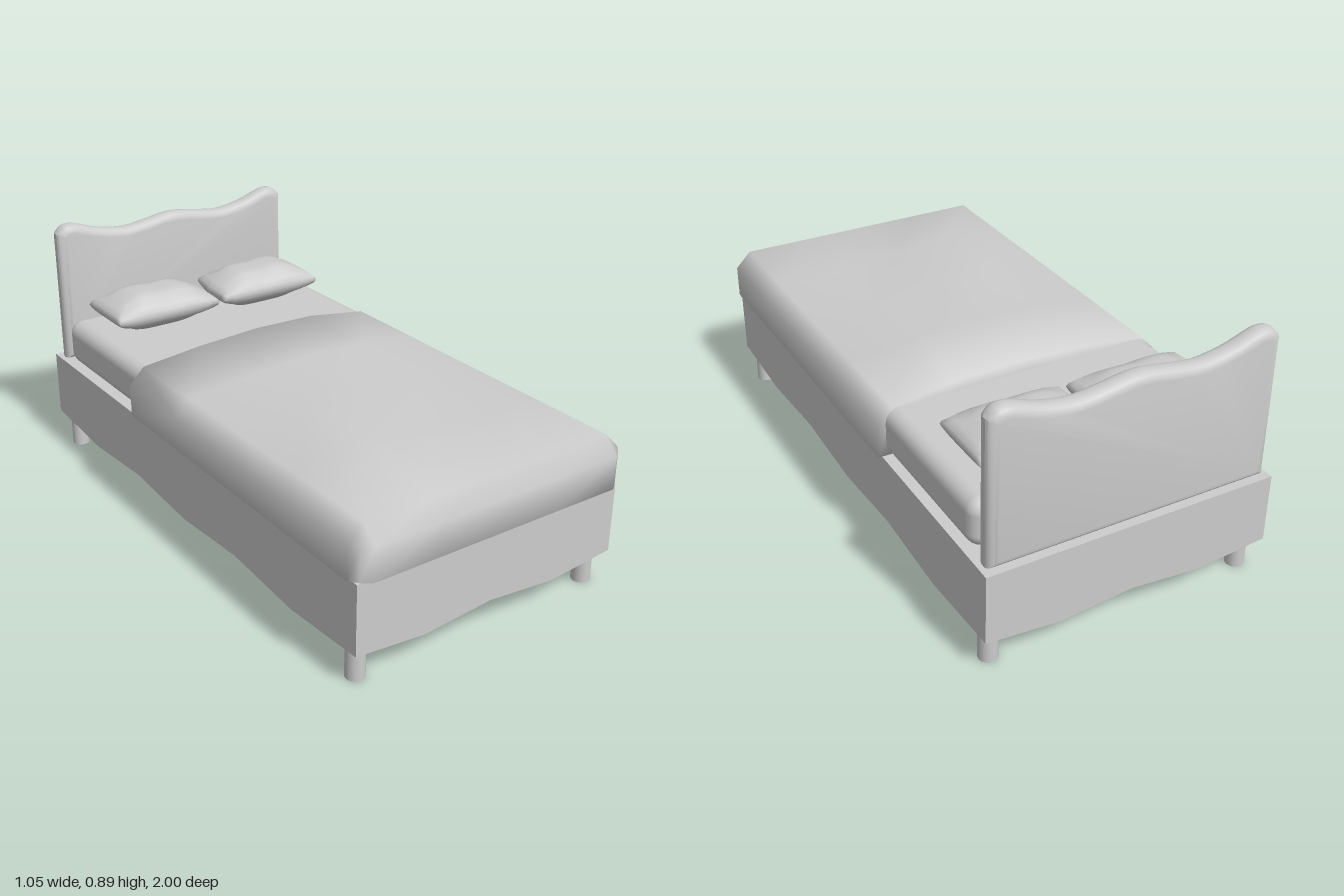
import * as THREE from 'three';
import { mergeVertices, toCreasedNormals } from 'three/addons/utils/BufferGeometryUtils.js';
import { RoundedBoxGeometry } from 'three/addons/geometries/RoundedBoxGeometry.js';

const grey = new THREE.MeshStandardMaterial({ color: 0xcccccc });
grey.name = 'light grey';

function part(name, geometry, parent, x = 0, y = 0, z = 0) {
  const mesh = new THREE.Mesh(geometry, grey);
  mesh.name = name;
  mesh.position.set(x, y, z);
  parent.add(mesh);
  return mesh;
}

// Move every vertex of a geometry by rule(v)
function reshape(geometry, rule) {
  const p = geometry.attributes.position;
  const v = new THREE.Vector3();
  for (let i = 0; i < p.count; i++) {
    rule(v.fromBufferAttribute(p, i));
    p.setXYZ(i, v.x, v.y, v.z);
  }
  geometry.computeVertexNormals();
  return geometry;
}

// Weld the seams of a box so that it shades smoothly
function weldedBox(nx, ny, nz) {
  const g = new THREE.BoxGeometry(2, 2, 2, nx, ny, nz);
  g.deleteAttribute('normal');
  g.deleteAttribute('uv');
  return mergeVertices(g);
}

// Box base with a gently waved underside
function frameGeometry() {
  return reshape(new THREE.BoxGeometry(2, 2, 2, 4, 1, 6), v => {
    const col = Math.round((v.x + 1) * 2), row = Math.round((v.z + 1) * 3);
    v.y = v.y > 0 ? 0.364 : 0.122 - 0.023 * (col % 2) - 0.023 * (row % 2);
    v.x *= 0.508;
    v.z = v.z * 0.9875 - 0.0125;
  });
}

// Padded board with a waved top edge
function headboardGeometry() {
  const b = 0.03;
  const s = new THREE.Shape();
  s.moveTo(-0.46, 0.365 + b);
  s.lineTo(0.46, 0.365 + b);
  s.lineTo(0.46, 0.85);
  s.splineThru([[0.445, 0.862], [0.41, 0.858], [0.32, 0.828], [0.21, 0.812], [0.11, 0.823], [0, 0.838],
    [-0.11, 0.823], [-0.21, 0.812], [-0.32, 0.828], [-0.41, 0.858], [-0.445, 0.862], [-0.46, 0.85]]
    .map(([x, y]) => new THREE.Vector2(x, y)));
  s.closePath();
  const g = new THREE.ExtrudeGeometry(s, {
    depth: 0.014, bevelThickness: b, bevelSize: b, bevelSegments: 4, curveSegments: 3,
  });
  return toCreasedNormals(g, 0.7);
}

// Draped cover: chamfered rim, soft folds on top
function blanketGeometry() {
  const xs = [-0.525, -0.47, -0.235, 0, 0.235, 0.47, 0.525];
  const zs = [-0.33, -0.01, 0.31, 0.63, 0.95, 1];
  const heights = [
    [0.542, 0.567, 0.58, 0.575, 0.542],
    [0.542, 0.567, 0.58, 0.573, 0.542],
    [0.542, 0.575, 0.568, 0.555, 0.542],
    [0.542, 0.6, 0.55, 0.545, 0.542],
    [0.542, 0.542, 0.542, 0.542, 0.542],
  ];
  return reshape(weldedBox(6, 1, 5), v => {
    const col = Math.round((v.x + 1) * 3), row = Math.round((v.z + 1) * 2.5);
    const rim = col === 0 || col === 6 || row === 5;
    const corner = (col === 0 || col === 6) && row === 5;
    v.y = v.y < 0 ? 0.37 : rim ? 0.485 : heights[row][col - 1];
    v.x = xs[col] * (corner ? 0.955 : 1);
    v.z = corner ? 0.977 : zs[row];
  });
}

// Plump cushion, rectangular in plan and rounded in section
function pillowGeometry() {
  return reshape(weldedBox(10, 6, 8), v => {
    const { x: u, y: t, z: w } = v;
    const pinch = Math.sqrt(1 - t * t / 2);
    const y = t * Math.sqrt(1 - u ** 4 / 2) * Math.sqrt(1 - w ** 4 / 2);
    // Higher on the outer side, with a dip toward the middle
    const puff = t > 0 ? 0.92 + 0.13 * Math.sin(u * 2.6) * (u > 0 ? 1 : -0.5) : 1;
    const inner = u < 0 ? 0.025 * u * u * Math.max(0, -w) : 0;
    v.set(u * 0.208 * pinch + inner, y * 0.07 * puff, w * 0.127 * pinch);
  });
}

export function createModel() {
  const bed = new THREE.Group();
  bed.name = 'bed';

  part('frame', frameGeometry(), bed);
  part('headboard', headboardGeometry(), bed, 0, 0, -0.957);
  part('mattress', new RoundedBoxGeometry(0.99, 0.17, 1.83, 3, 0.05), bed, 0, 0.453, 0.015);
  part('blanket', blanketGeometry(), bed);

  // Mirrored pairs of pillows and legs
  for (const side of [1, -1]) {
    const label = side > 0 ? 'left' : 'right';
    const pillow = pillowGeometry();
    if (side < 0) {
      pillow.scale(-1, 1, 1);
      const index = pillow.index.array;
      for (let i = 0; i < index.length; i += 3) {
        [index[i], index[i + 1]] = [index[i + 1], index[i]];
      }
      pillow.computeVertexNormals();
    }
    part(label + 'Pillow', pillow, bed, side * 0.221, 0.608, -0.7);

    for (const [end, z] of [['Front', 0.91], ['Back', -0.93]]) {
      part(label + end + 'Leg', new THREE.CylinderGeometry(0.032, 0.032, 0.16, 16), bed, side * 0.461, 0.08, z);
    }
  }
  return bed;
}
